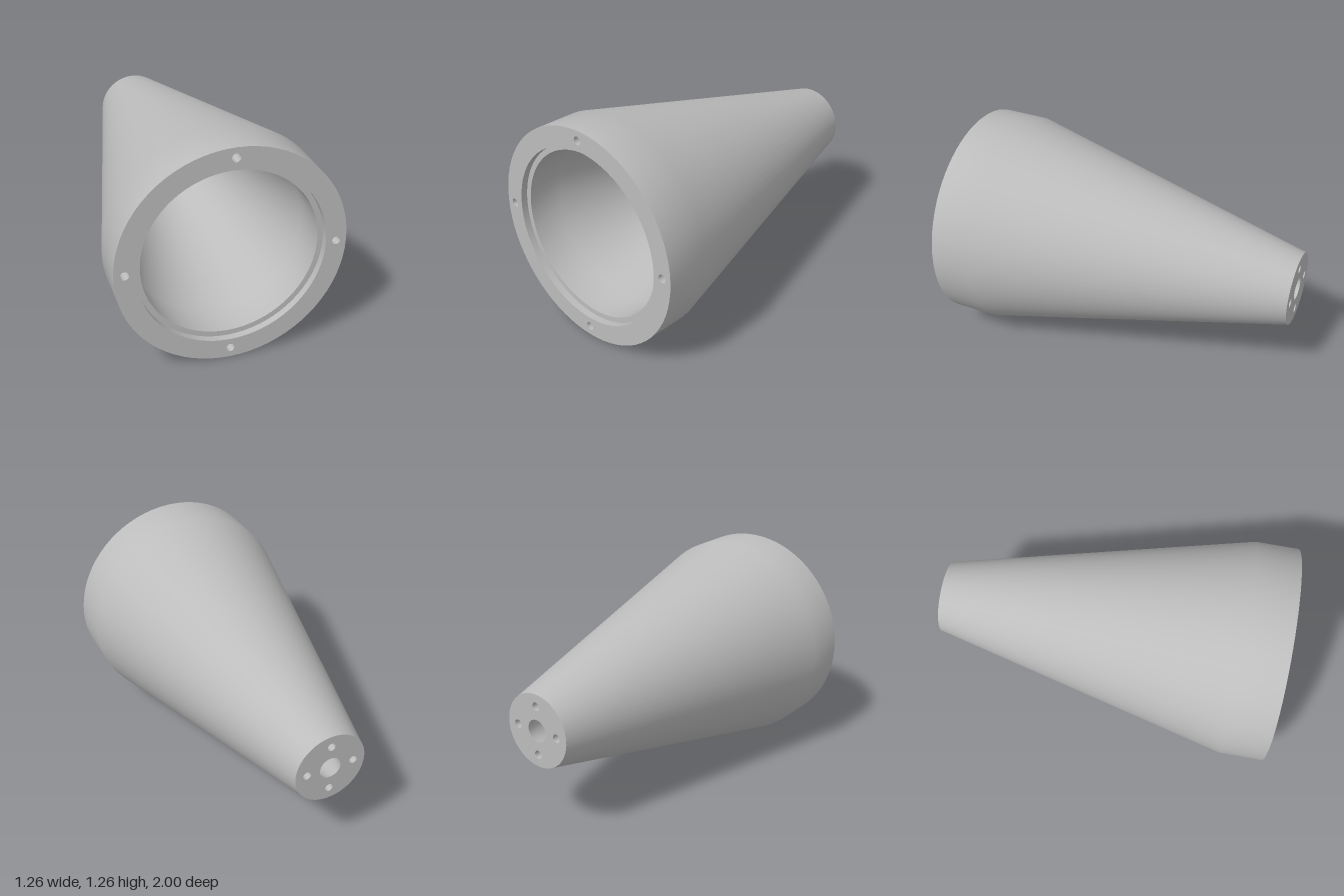
import * as THREE from 'three';

const grey = new THREE.MeshStandardMaterial({ color: 0xbcbcbc });
grey.name = 'plain grey';

const R = 0.628, TAIL = 0.21;      // outer radius at the mouth and at the tail
const BORE = 0.482, EXIT = 0.063;  // inner radius at the mouth and at the tail
const LIP = 0.513, LIP_Z = 0.96;   // stepped recess behind the mouth
const SHOULDER = 0.75;             // where the straight part turns into the cone
const HOLE = 0.024, DEPTH = 0.1;   // screw holes

// Surface turned around the z axis; profile points are [radius, z]
function turned(name, points, segments = 72) {
  const g = new THREE.LatheGeometry(points.map(p => new THREE.Vector2(...p)), segments);
  g.rotateX(Math.PI / 2);
  const m = new THREE.Mesh(g, grey);
  m.name = name;
  return m;
}

// Flat end ring with four blind screw holes, facing +z
function endRing(name, outer, inner, circle) {
  const end = new THREE.Group();
  end.name = name;
  const shape = new THREE.Shape().absarc(0, 0, outer, 0, Math.PI * 2);
  shape.holes.push(new THREE.Path().absarc(0, 0, inner, 0, Math.PI * 2, true));
  for (let i = 0; i < 4; i++) {
    const a = i * Math.PI / 2;
    const x = circle * Math.cos(a), y = circle * Math.sin(a);
    shape.holes.push(new THREE.Path().absarc(x, y, HOLE, 0, Math.PI * 2, true));
    const wall = turned('screwHoleWall', [[HOLE, 0], [HOLE, -DEPTH]], 24);
    const floor = turned('screwHoleFloor', [[HOLE, -DEPTH], [0, -DEPTH]], 24);
    wall.position.set(x, y, 0);
    floor.position.set(x, y, 0);
    end.add(wall, floor);
  }
  const face = new THREE.Mesh(new THREE.ShapeGeometry(shape, 36), grey);
  face.name = name + 'Face';
  end.add(face);
  return end;
}

export function createModel() {
  const model = new THREE.Group();
  model.name = 'taperedHorn';

  // Outer shell and constant-thickness inner wall
  model.add(turned('outerShell', [[TAIL, -1], [R, SHOULDER], [R, 1]]));
  model.add(turned('innerWall', [[BORE, LIP_Z], [BORE, SHOULDER], [EXIT, -1]]));

  // Recess at the mouth
  model.add(turned('recessWall', [[LIP, 1], [LIP, LIP_Z]]));
  model.add(turned('recessLedge', [[LIP, LIP_Z], [BORE, LIP_Z]]));

  // Drilled rings at both ends
  const front = endRing('frontRing', R, LIP, 0.571);
  front.position.z = 1;
  const back = endRing('backRing', TAIL, EXIT, 0.14);
  back.position.z = -1;
  back.rotation.y = Math.PI;
  model.add(front, back);

  for (const part of model.children) part.position.y = R;
  return model;
}
